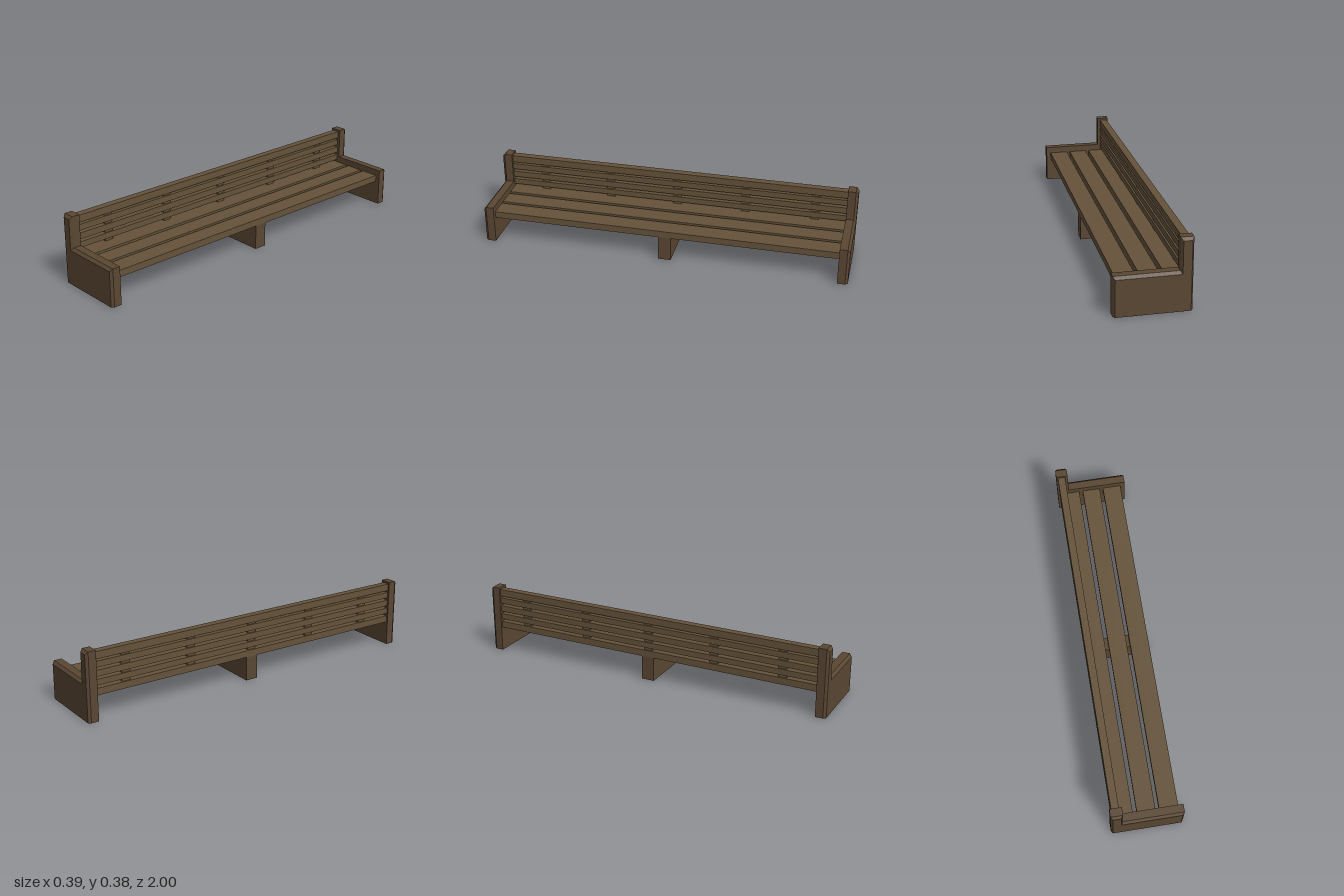
import * as THREE from 'three';

const slatMat = new THREE.MeshStandardMaterial({ color: 0x65523a, flatShading: true });
const endMat = new THREE.MeshStandardMaterial({ color: 0x5a4733, flatShading: true });

// Box given by its limits on each axis
function box(name, [x0, x1], [y0, y1], [z0, z1], mat = slatMat) {
  const mesh = new THREE.Mesh(new THREE.BoxGeometry(x1 - x0, y1 - y0, z1 - z0), mat);
  mesh.position.set((x0 + x1) / 2, (y0 + y1) / 2, (z0 + z1) / 2);
  mesh.name = name;
  return mesh;
}

// L-shaped end panel whose outer face is chamfered on all edges but the bottom
function endPanelGeometry() {
  const outline = [[-0.194, 0], [0.193, 0], [0.193, 0.207], [-0.13, 0.207], [-0.13, 0.375], [-0.194, 0.375]];
  const shape = new THREE.Shape(outline.map(([x, y]) => new THREE.Vector2(x, y)));
  const depth = 0.056;
  const geo = new THREE.ExtrudeGeometry(shape, { depth, steps: 4, bevelEnabled: false });
  const p = geo.attributes.position;
  for (let i = 0; i < p.count; i++) {
    if (p.getZ(i) < depth - 0.001) continue;
    const x = p.getX(i), y = p.getY(i);
    p.setXY(i, x < -0.15 ? x + 0.01 : x - 0.01, y > 0.01 ? y - 0.015 : y);
  }
  geo.translate(0, 0, 1 - depth);
  geo.computeVertexNormals();
  return geo;
}

export function createModel() {
  const bench = new THREE.Group();
  bench.name = 'bench';
  const span = [-0.946, 0.946];

  // End panels, mirrored along the length
  const panelGeo = endPanelGeometry();
  for (const side of [1, -1]) {
    const panel = new THREE.Mesh(panelGeo, endMat);
    panel.scale.z = side;
    panel.name = side > 0 ? 'frontEndPanel' : 'backEndPanel';
    bench.add(panel);
  }

  // Seat slats
  [[-0.171, -0.071], [-0.05, 0.048], [0.067, 0.168]].forEach((x, i) =>
    bench.add(box(`seatSlat${i + 1}`, x, [0.135, 0.172], span)));

  // Backrest slats
  [[0.135, 0.172], [0.187, 0.219], [0.233, 0.267], [0.281, 0.314], [0.325, 0.364]].forEach((y, i) =>
    bench.add(box(`backSlat${i + 1}`, [-0.185, -0.145], y, span)));

  // Uprights joining the backrest slats
  for (let i = -2; i <= 2; i++) {
    const z = -0.01 + i * 0.3825;
    bench.add(box(`backUpright${i + 3}`, [-0.177, -0.153], [0.15, 0.345], [z - 0.023, z + 0.023]));
  }

  // Middle leg
  bench.add(box('middleLeg', [-0.18, 0.167], [0, 0.135], [-0.046, 0.024], endMat));
  return bench;
}
